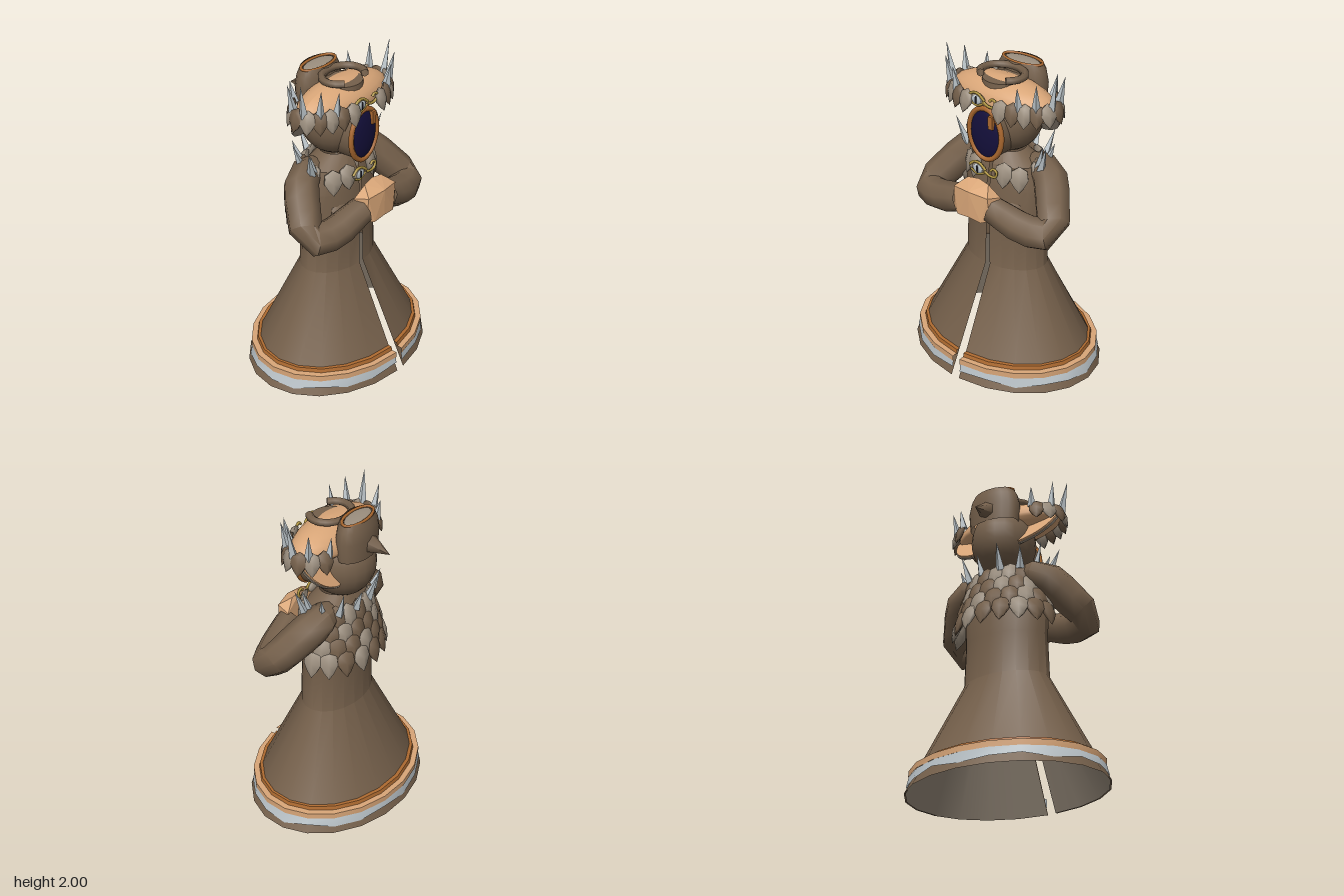
import * as THREE from 'three';
import { toCreasedNormals } from 'three/addons/utils/BufferGeometryUtils.js';
import { ConvexGeometry } from 'three/addons/geometries/ConvexGeometry.js';

const mat = (name, color, side = THREE.FrontSide) => {
  const m = new THREE.MeshStandardMaterial({ color, side });
  m.name = name;
  return m;
};
const V = (x, y, z) => new THREE.Vector3(x, y, z);

export function createModel() {
  const root = new THREE.Group();
  root.name = 'hoodedFigure';
  const brown = mat('brown cloth', 0x75604b, THREE.DoubleSide);
  const taupe = mat('taupe', 0x9c8f7f);
  const tan = mat('tan', 0xd9a678);
  const orange = mat('orange trim', 0xad6a30);
  const navy = mat('navy', 0x14103c);
  const gold = mat('gold', 0xb59a45);
  const silver = mat('silver', 0xbcc5ca, THREE.DoubleSide);
  const dark = mat('dark pupil', 0x14141c);

  const add = (name, geo, material, pos = [0, 0, 0], parent = root) => {
    const m = new THREE.Mesh(geo, material);
    m.name = name;
    m.position.set(...pos);
    parent.add(m);
    return m;
  };
  const crease = (g, angle = 0.6) => toCreasedNormals(g, angle);
  const ball = (rx, ry, rz, ws = 16, hs = 12) => new THREE.SphereGeometry(1, ws, hs).scale(rx, ry, rz);

  // Elliptical shell with a narrow slit at the front; rows are [y, rx, rz]
  const loft = (rows, { flip = false, wave = 0, n = 20 } = {}) => {
    const pos = [], idx = [];
    rows.forEach(([y, rx, rz], j) => {
      const gap = Math.asin((0.03 - 0.02 * Math.min(y, 1)) / rx);
      for (let i = 0; i <= n; i++) {
        const a = gap + (2 * Math.PI - 2 * gap) * i / n;
        const dy = j === 0 ? wave * Math.sin(i * 2.3) : 0;
        pos.push(rx * Math.sin(a), y + dy, rz * Math.cos(a));
        if (j && i) {
          const d = j * (n + 1) + i, c = d - 1, b = d - n - 1, e = b - 1;
          idx.push(...(flip ? [e, d, b, e, c, d] : [e, b, d, e, d, c]));
        }
      }
    });
    const g = new THREE.BufferGeometry();
    g.setAttribute('position', new THREE.Float32BufferAttribute(pos, 3));
    g.setIndex(idx);
    return crease(g, 0.45);
  };

  // Robe, lining and hem bands
  add('robe', loft([[0, 0.645, 0.51], [0.15, 0.565, 0.44], [0.68, 0.285, 0.19], [0.95, 0.275, 0.185],
    [1.22, 0.29, 0.18], [1.36, 0.24, 0.15], [1.43, 0.12, 0.1]]), brown);
  add('robeLining', loft([[0, 0.636, 0.501], [0.67, 0.281, 0.185]], { flip: true }), taupe);
  add('hemSilver', loft([[0.045, 0.632, 0.5], [0.1, 0.615, 0.492]], { wave: 0.014 }), silver);
  add('hemTan', loft([[0.098, 0.617, 0.497], [0.135, 0.617, 0.497], [0.136, 0.575, 0.45]]), tan);
  add('hemOrange', loft([[0.135, 0.58, 0.463], [0.16, 0.574, 0.457], [0.162, 0.56, 0.435]]), orange);

  // Hood, crown and horn at the back
  add('hood', ball(0.2, 0.225, 0.215, 20, 14), brown, [0, 1.62, -0.03]);
  add('hoodCrown', new THREE.CylinderGeometry(0.12, 0.14, 0.2, 20, 1).scale(1, 1, 0.9), brown, [0, 1.78, 0.05]);
  add('hoodBackTube', new THREE.LatheGeometry([[0.17, 0], [0.18, 0.12], [0.165, 0.19], [0.14, 0.235]]
    .map(p => new THREE.Vector2(...p)), 20).scale(1, 1, 0.56), brown, [0, 1.7, -0.14]);
  add('hoodHorn', new THREE.ConeGeometry(0.065, 0.15, 6).rotateX(-Math.PI / 2 - 0.25), brown, [0, 1.76, -0.285]);

  // Oval rings
  const ringTube = (rx, ry, r) => {
    const pts = [];
    for (let i = 0; i < 20; i++) {
      const a = i / 20 * Math.PI * 2;
      pts.push(V(rx * Math.cos(a), ry * Math.sin(a), 0));
    }
    return new THREE.TubeGeometry(new THREE.CatmullRomCurve3(pts, true), 28, r, 6, true);
  };
  add('backTubeRim', ringTube(0.14, 0.062, 0.009).rotateX(-Math.PI / 2), orange, [0, 1.93, -0.14]);
  add('backTubeInside', ball(0.125, 0.012, 0.055), taupe, [0, 1.925, -0.14]);
  const shoe = [];
  for (let i = 0; i <= 10; i++) {
    const a = 0.75 + (Math.PI * 2 - 1.5) * i / 10;
    shoe.push(V(0.14 * Math.sin(a), 0, 0.115 * Math.cos(a)));
  }
  add('crownHorseshoe', new THREE.TubeGeometry(new THREE.CatmullRomCurve3(shoe), 24, 0.024, 6), brown, [0, 1.905, 0.045]);

  // Face opening
  add('faceBacking', new THREE.CylinderGeometry(1, 1, 0.12, 20).rotateX(Math.PI / 2).scale(0.125, 0.165, 1), brown, [0, 1.57, 0.13]);
  add('faceVoid', ball(0.115, 0.16, 0.03), navy, [0, 1.57, 0.193]);
  add('faceRing', ringTube(0.122, 0.162, 0.017), orange, [0, 1.57, 0.2]);
  add('faceBuckle', new THREE.BoxGeometry(0.032, 0.08, 0.03), orange, [0.06, 1.665, 0.215]);

  // Wide tan cap with flatter underside
  const cap = ball(0.37, 0.13, 0.17, 24, 12);
  const cp = cap.attributes.position;
  for (let i = 0; i < cp.count; i++) if (cp.getY(i) < 0) cp.setY(i, cp.getY(i) * 0.6);
  cap.computeVertexNormals();
  add('cap', cap, tan, [0, 1.76, 0.035]);

  // Feather scale, hanging from its origin
  const scaleGeo = new THREE.LatheGeometry([[0, -0.165], [0.028, -0.13], [0.052, -0.085], [0.045, -0.03], [0, 0]]
    .map(p => new THREE.Vector2(...p)), 6).scale(1, 1, 0.4);
  const spikeGeo = crease(new THREE.ConeGeometry(0.028, 1, 4).translate(0, 0.5, 0), 0.3);
  const around = (name, geo, material, deg, rx, rz, cz, y, tilt, scale = [1, 1, 1]) => {
    const a = deg * Math.PI / 180, x = rx * Math.sin(a), z = rz * Math.cos(a);
    const m = add(name, geo, material, [x, y, z + cz]);
    m.rotation.order = 'YXZ';
    m.rotation.set(tilt, Math.atan2(x / (rx * rx), z / (rz * rz)), 0);
    m.scale.set(...scale);
  };

  for (const s of [1, -1]) {
    // Cap feathers and spikes
    [20, 33, 46, 60, 76, 95, 113, 130].forEach((d, i) =>
      around('capFeather', scaleGeo, i % 2 ? brown : taupe, s * d, 0.365, 0.185, 0.03, 1.825, -0.3, [1.05, 0.9, 1.1]));
    [[38, 0.15], [58, 0.18], [82, 0.218], [110, 0.17], [137, 0.13]].forEach(([d, len]) =>
      around('capSpike', spikeGeo, silver, s * d, 0.375, 0.19, 0.03, 1.785, 0.2, [1, len, 1]));

    // Ear flaps sloping back under the cap
    const ear = new THREE.Group();
    ear.name = 'earFlap';
    ear.position.set(0, 1.73, 0.0);
    ear.rotation.x = 0.6;
    root.add(ear);
    const flap = (k, d) => {
      const sh = new THREE.Shape();
      sh.moveTo(s * 0.12, 0.02);
      sh.lineTo(s * (0.18 + 0.2 * k), 0.02);
      sh.bezierCurveTo(s * (0.18 + 0.19 * k), -0.12 * k, s * (0.16 + 0.13 * k), -0.2 * k, s * 0.18, -0.225 * k);
      sh.lineTo(s * 0.12, -0.2 * k);
      return new THREE.ExtrudeGeometry(sh, { depth: d, bevelEnabled: false, curveSegments: 8 });
    };
    add('earFront', flap(1, 0.012), taupe, [0, 0, 0], ear);
    add('earBack', flap(0.97, 0.012), tan, [0, 0, -0.012], ear);
    add('earInner', flap(0.68, 0.008), tan, [0, 0, 0.01], ear);

    // Sleeve: tube with a radius that changes along its length
    const arm = new THREE.CatmullRomCurve3([V(s * 0.15, 1.34, -0.05), V(s * 0.29, 1.31, -0.03), V(s * 0.42, 1.16, 0.09),
      V(s * 0.475, 1.07, 0.17), V(s * 0.36, 1.06, 0.23), V(s * 0.11, 1.14, 0.275)]);
    const sleeve = new THREE.TubeGeometry(arm, 10, 1, 8);
    const radii = [0.075, 0.1, 0.108, 0.108, 0.105, 0.1, 0.1, 0.1, 0.098, 0.092, 0.085];
    const p = sleeve.attributes.position, v = V(0, 0, 0);
    for (let i = 0; i < p.count; i++) {
      const row = Math.floor(i / 9), c = arm.getPointAt(row / 10);
      v.fromBufferAttribute(p, i).sub(c).multiplyScalar(radii[row]).add(c);
      p.setXYZ(i, v.x, v.y, v.z);
    }
    sleeve.computeVertexNormals();
    add('sleeve', crease(sleeve, 0.9), brown);

    // Clasped hand
    add('hand', new ConvexGeometry([[0, 1.3, 0.26], [0, 1.25, 0.36], [0, 1.08, 0.36], [0, 1.06, 0.25], [0.08, 1.29, 0.27],
      [0.13, 1.24, 0.34], [0.155, 1.22, 0.25], [0.14, 1.09, 0.33], [0.12, 1.06, 0.24], [0.09, 1.07, 0.355]]
      .map(([x, y, z]) => V(s * x, y, z))), tan);

    // Chest feathers
    [[25, 1.4], [48, 1.38], [38, 1.16]].forEach(([d, y], i) =>
      around('chestFeather', scaleGeo, i === 2 ? brown : taupe, s * d, 0.25, 0.17, 0, y, -0.2, [1.2, 1, 1]));
  }

  // Feather cape over the back and shoulders
  for (let r = 0; r < 4; r++) {
    const n = r % 2 ? 9 : 10;
    for (let i = 0; i < n; i++) {
      const deg = 180 + (i - (n - 1) / 2) * 21;
      around('capeFeather', scaleGeo, (i + r) % 3 === 0 || (i * 2 + r) % 5 === 0 ? taupe : brown, deg,
        0.225 + r * 0.025, 0.15 + r * 0.025, -0.01, 1.41 - r * 0.085, -0.28, [1.2, 1.15, 1.2]);
    }
  }
  for (let i = 0; i < 8; i++)
    around('collarSpike', spikeGeo, silver, 75 + i * 30, 0.26, 0.16, -0.02, 1.36, 0.35, [1, i % 2 ? 0.14 : 0.18, 1]);
  for (const s of [1, -1])
    around('collarSpike', spikeGeo, silver, s * 72, 0.3, 0.18, -0.02, 1.36, 0.38, [1, 0.19, 1]);

  // Eye ornaments with lids and a curled hook
  const tube = (pts, r) => new THREE.TubeGeometry(new THREE.CatmullRomCurve3(pts.map(q => V(q[0], q[1], 0))), 16, r, 5);
  for (const [y, z] of [[1.78, 0.205], [1.33, 0.2]]) {
    const eye = new THREE.Group();
    eye.name = 'eyeOrnament';
    eye.position.set(-0.05, y, z);
    root.add(eye);
    add('eyeball', ball(0.052, 0.034, 0.02), taupe, [0, 0, 0], eye);
    add('eyeWhite', ball(0.036, 0.028, 0.008), silver, [0, 0, 0.015], eye);
    add('pupil', ball(0.008, 0.026, 0.006), dark, [0, 0, 0.02], eye);
    add('upperLid', tube([[-0.065, 0.01], [-0.03, 0.038], [0.01, 0.04], [0.06, 0.005]], 0.009), gold, [0, 0, 0.012], eye);
    add('lowerLid', tube([[-0.055, -0.015], [0, -0.036], [0.055, -0.012]], 0.007), gold, [0, 0, 0.012], eye);
    add('hook', tube([[0.05, 0], [0.09, -0.018], [0.135, -0.012], [0.145, 0.02], [0.12, 0.035], [0.1, 0.018]], 0.009),
      gold, [0, 0, 0.014], eye);
  }
  return root;
}
